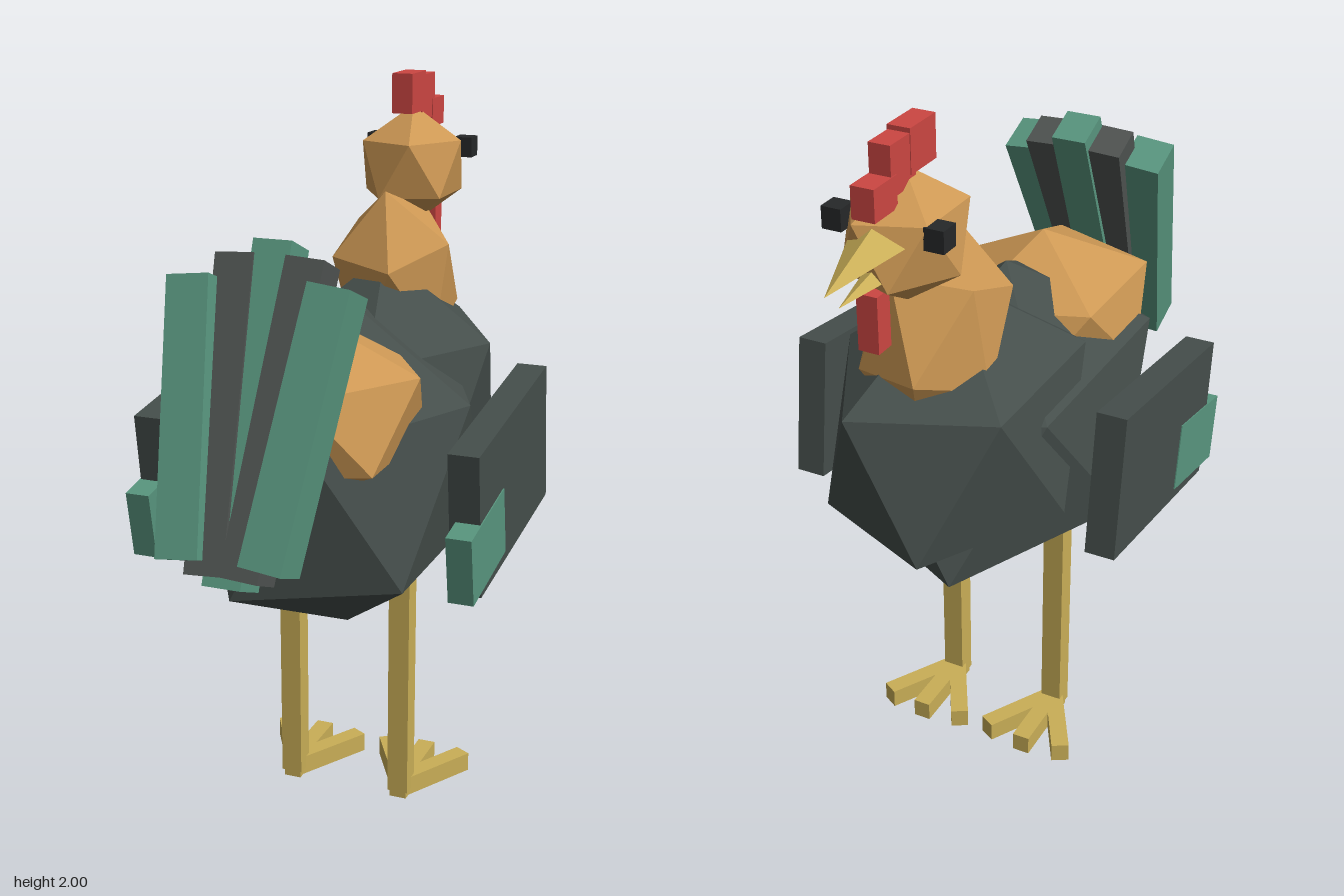
import * as THREE from 'three';

function material(name, color) {
  const m = new THREE.MeshStandardMaterial({ color, flatShading: true });
  m.name = name;
  return m;
}

export function createModel() {
  const model = new THREE.Group();
  model.name = 'hen';
  const dark = material('dark plumage', 0x454e4b);
  const grey = material('grey tail', 0x4f5351);
  const green = material('green feather', 0x58957e);
  const brown = material('golden brown', 0xcd9854);
  const red = material('red comb', 0xcc4642);
  const yellow = material('yellow beak and legs', 0xc9ae57);
  const black = material('black eye', 0x262829);

  function add(name, geometry, mat, pos, rot = [0, 0, 0], parent = model) {
    const mesh = new THREE.Mesh(geometry, mat);
    mesh.name = name;
    mesh.position.set(...pos);
    mesh.rotation.set(...rot);
    parent.add(mesh);
    return mesh;
  }
  const box = (name, size, mat, pos, rot, parent) =>
    add(name, new THREE.BoxGeometry(...size), mat, pos, rot, parent);

  // Icosahedron standing on one corner, stretched to an ellipsoid
  function blob(name, mat, pos, scale, tilt = 0) {
    const g = new THREE.IcosahedronGeometry(1, 0);
    g.rotateX(-Math.atan((1 + Math.sqrt(5)) / 2));
    g.rotateY(Math.PI / 2);
    g.scale(...scale);
    g.computeVertexNormals();
    add(name, g, mat, pos, [tilt, 0, 0]);
  }

  // Body masses
  blob('body', dark, [0, 0.985, 0.025], [0.39, 0.465, 0.63]);
  blob('chest', dark, [0, 1.105, -0.26], [0.35, 0.414, 0.46]);
  blob('rump', brown, [0, 1.215, 0.25], [0.32, 0.235, 0.365]);
  blob('neck', brown, [0, 1.43, -0.355], [0.19, 0.28, 0.21], 0.35);
  blob('head', brown, [0, 1.735, -0.487], [0.16, 0.17, 0.192]);

  // Comb and wattle
  box('combBack', [0.06, 0.11, 0.115], red, [0, 1.945, -0.447]);
  box('combMiddle', [0.056, 0.125, 0.11], red, [0, 1.926, -0.535]);
  box('combFront', [0.06, 0.08, 0.1], red, [0, 1.875, -0.618]);
  box('wattle', [0.055, 0.145, 0.055], red, [0, 1.583, -0.642]);

  // Four-sided beak halves pointing to -z
  function beak(name, rx, ry, length, y, tipZ, dip) {
    const g = new THREE.ConeGeometry(1, length, 4);
    g.rotateX(-Math.PI / 2);
    g.scale(rx, ry, 1);
    g.computeVertexNormals();
    add(name, g, yellow, [0, y, tipZ + length / 2], [-dip, 0, 0]);
  }
  beak('upperBeak', 0.078, 0.05, 0.24, 1.745, -0.84, 0.17);
  beak('lowerBeak', 0.045, 0.028, 0.2, 1.68, -0.785, 0.05);

  for (const s of [-1, 1]) {
    const side = s > 0 ? 'left' : 'right';

    box(side + 'Eye', [0.052, 0.056, 0.056], black, [s * 0.133, 1.785, -0.565]);

    // Wing with coloured tip
    box(side + 'Wing', [0.082, 0.393, 0.615], dark, [s * 0.435, 1.008, 0.022], [0.125, 0, 0]);
    box(side + 'WingTip', [0.068, 0.188, 0.28], green, [s * 0.445, 0.898, 0.255], [0.17, 0, 0]);

    // Leg and three spread toes
    const leg = new THREE.Group();
    leg.name = side + 'Leg';
    leg.position.set(s * 0.165, 0, 0.025);
    model.add(leg);
    box('shank', [0.06, 0.67, 0.058], yellow, [0, 0.355, 0], [0, 0, 0], leg);
    for (const a of [-1, 0, 1]) {
      const len = a ? 0.24 : 0.255;
      const turn = -a * 0.52;
      const start = a ? -0.005 : 0.025;
      box('toe', [0.05, 0.055, len], yellow,
        [-Math.sin(turn) * len / 2, 0.0275, start - Math.cos(turn) * len / 2], [0, turn, 0], leg);
    }

    // Fanned side tail feathers
    box(side + 'TailInner', [0.1, 0.77, 0.105], grey, [s * 0.068, 1.29, 0.626], [-0.41, 0, -s * 0.06]);
    box(side + 'TailOuter', [0.11, 0.675, 0.122], green, [s * 0.143, 1.285, 0.662], [-0.38, 0, -s * 0.11]);
  }
  box('tailCentre', [0.1, 0.83, 0.11], green, [0, 1.293, 0.612], [-0.4, 0, 0]);

  return model;
}
